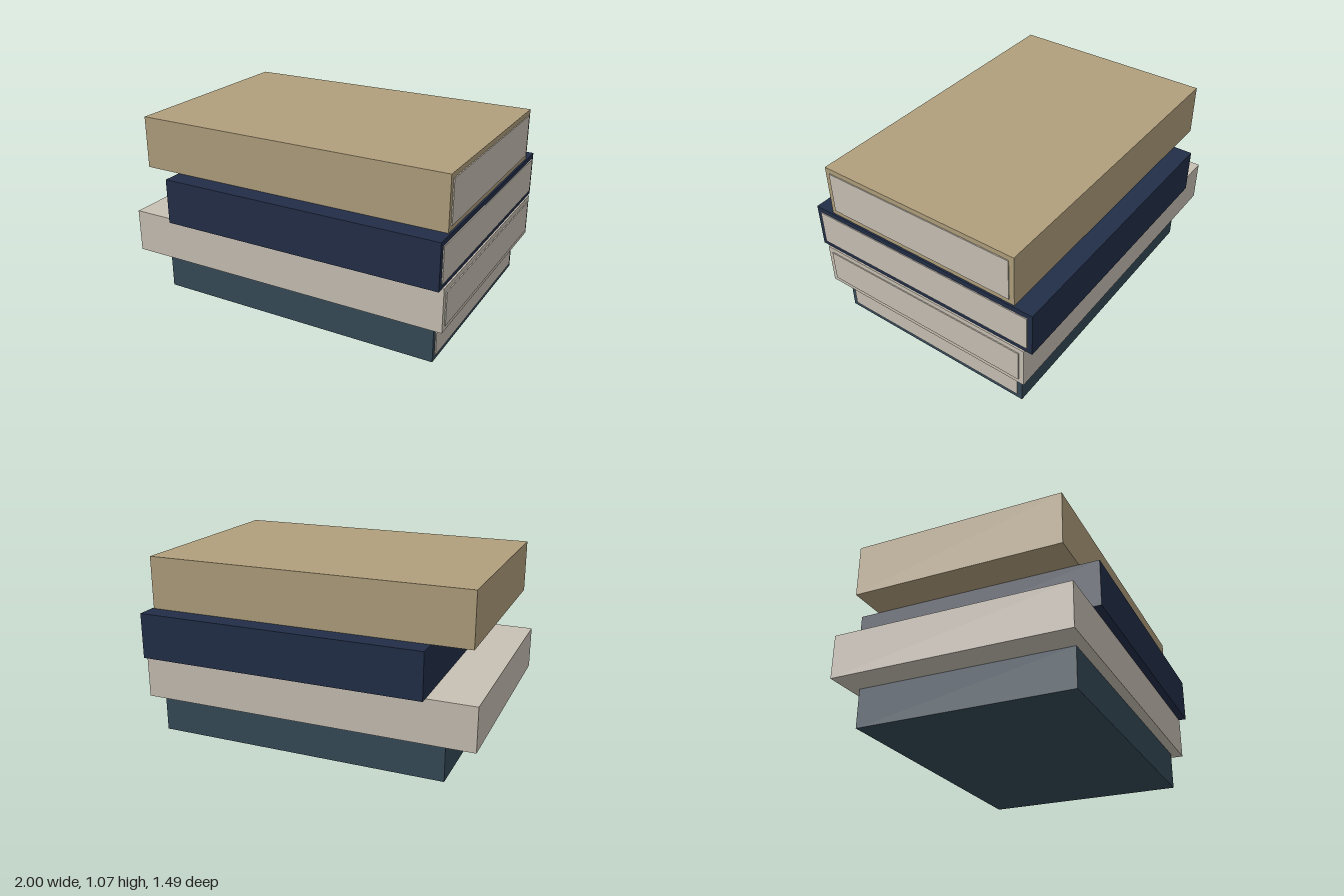
import * as THREE from 'three';

const INSET = 0.03;      // cover border around the pages
const PROUD = 0.006;     // how far the page panel stands out

function material(name, color) {
  const m = new THREE.MeshStandardMaterial({ color });
  m.name = name;
  return m;
}

// Box mesh given by its min and max corners
function slab(name, mat, [x0, y0, z0], [x1, y1, z1]) {
  const mesh = new THREE.Mesh(new THREE.BoxGeometry(x1 - x0, y1 - y0, z1 - z0), mat);
  mesh.position.set((x0 + x1) / 2, (y0 + y1) / 2, (z0 + z1) / 2);
  mesh.name = name;
  return mesh;
}

export function createModel() {
  const teal = material('slate teal', 0x364a58);
  const cream = material('cream paper', 0xc8c0b4);
  const navy = material('navy', 0x222e48);
  const tan = material('tan', 0xb09f7c);

  // Stacked books from bottom to top: spine x, fore-edge x, bottom, top, half depth
  const books = [
    ['bottomBook', teal, -0.82, 0.926, 0, 0.23, 0.637],
    ['secondBook', cream, -1, 0.994, 0.23, 0.487, 0.697],
    ['thirdBook', navy, -0.72, 0.984, 0.487, 0.758, 0.743],
    ['topBook', tan, -0.946, 0.973, 0.758, 1.07, 0.627],
  ];

  const stack = new THREE.Group();
  stack.name = 'bookStack';
  for (const [name, mat, x0, x1, y0, y1, d] of books) {
    const book = new THREE.Group();
    book.name = name;
    // Cover block
    book.add(slab('cover', mat, [x0, y0, -d], [x1, y1, d]));
    // Thin page panel on the fore-edge
    book.add(slab('pages', cream,
      [x1 - 0.002, y0 + INSET, -d + INSET], [x1 + PROUD, y1 - INSET, d - INSET]));
    stack.add(book);
  }
  return stack;
}
